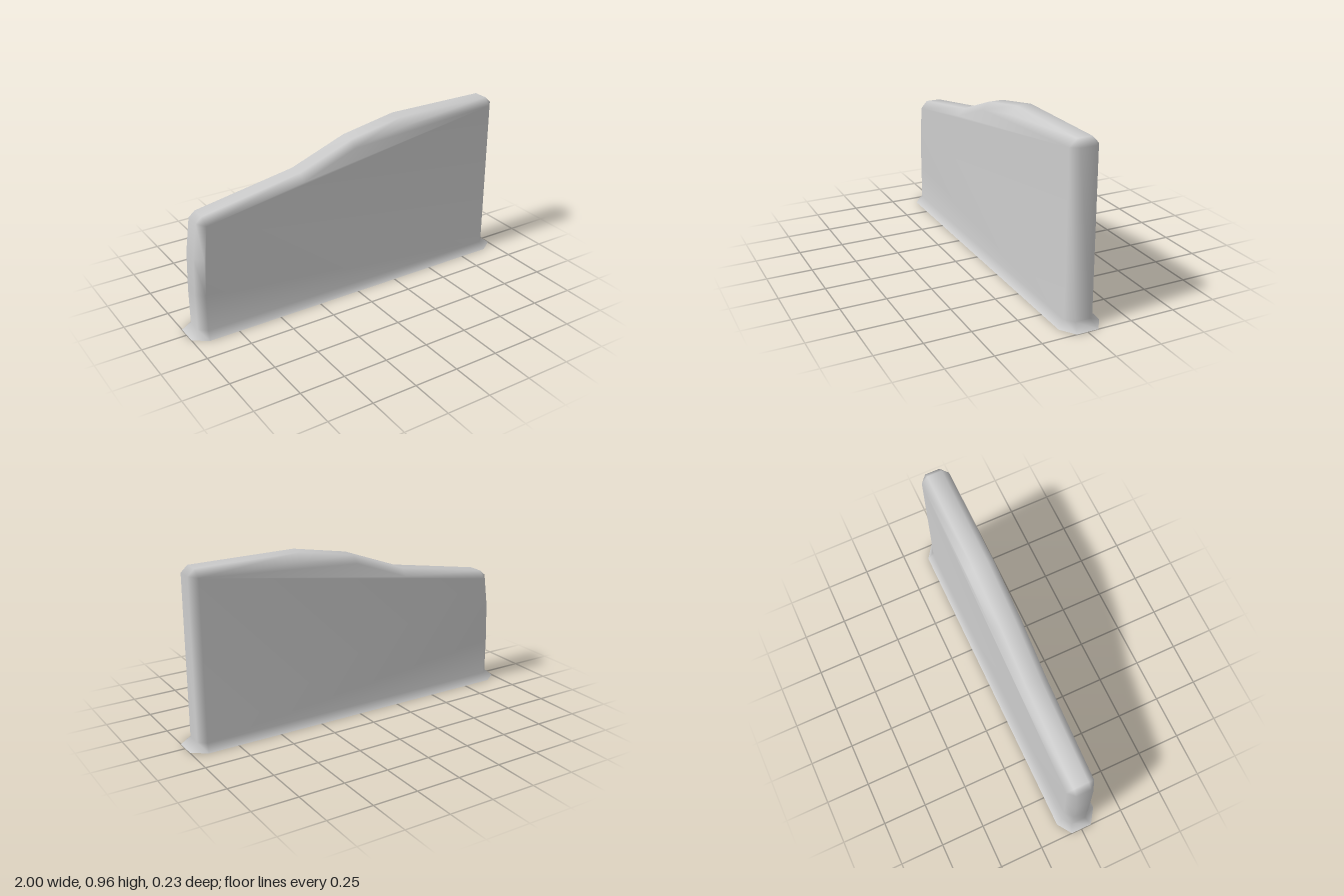
import * as THREE from 'three';
import { mergeVertices } from 'three/addons/utils/BufferGeometryUtils.js';

// Rim stations from the left foot over the top to the right foot:
// [rim x, rim y, rim half depth, side x, side y, side half depth]
const RIM = 0.042, SIDE = 0.08;
const stations = [
  [-1, 0, 0.06, -0.92, 0, 0.115],
  [-0.955, 0.04, RIM, -0.91, 0.04, SIDE],
  [-0.955, 0.25, RIM, -0.91, 0.25, SIDE],
  [-0.947, 0.46, RIM, -0.905, 0.45, SIDE],
  [-0.92, 0.65, RIM, -0.88, 0.64, SIDE],
  [-0.885, 0.68, RIM, -0.88, 0.64, SIDE],
  [-0.32, 0.78, RIM, -0.32, 0.74, SIDE],
  [0, 0.9, RIM, 0, 0.86, SIDE],
  [0.32, 0.96, RIM, 0.32, 0.92, SIDE],
  [0.915, 0.96, RIM, 0.91, 0.92, SIDE],
  [0.952, 0.925, RIM, 0.91, 0.92, SIDE],
  [0.952, 0.04, RIM, 0.91, 0.04, SIDE],
  [1, 0, 0.06, 0.92, 0, 0.115],
];

function panelGeometry() {
  const n = stations.length, positions = [], index = [];
  for (const [px, py, pz, qx, qy, qz] of stations) {
    positions.push(qx, qy, qz, px, py, pz, px, py, -pz, qx, qy, -qz);
  }

  // Bevelled rim: front bevel, flat edge, back bevel
  for (let i = 0; i < n - 1; i++) {
    for (let j = 0; j < 3; j++) {
      const a = i * 4 + j, b = a + 4;
      index.push(a, b, b + 1, a, b + 1, a + 1);
    }
  }

  // A front triangle and its mirror on the back
  const bothSides = (a, b, c) => {
    index.push(a * 4, b * 4, c * 4, a * 4 + 3, c * 4 + 3, b * 4 + 3);
  };

  // Large side faces
  const outline = stations.slice(1, -1).map((s) => new THREE.Vector2(s[3], s[4]));
  for (const [a, b, c] of THREE.ShapeUtils.triangulateShape(outline, [])) {
    const ccw = THREE.ShapeUtils.area([outline[a], outline[b], outline[c]]) > 0;
    if (ccw) bothSides(a + 1, b + 1, c + 1);
    else bothSides(a + 1, c + 1, b + 1);
  }

  // Flared skirt along both long sides; the underside stays open
  bothSides(0, n - 1, n - 2);
  bothSides(0, n - 2, 1);

  const geometry = new THREE.BufferGeometry();
  geometry.setAttribute('position', new THREE.Float32BufferAttribute(positions, 3));
  geometry.setIndex(index);
  const welded = mergeVertices(geometry);
  welded.computeVertexNormals();
  return welded;
}

export function createModel() {
  const group = new THREE.Group();
  const material = new THREE.MeshStandardMaterial({ color: 0xcccccc, side: THREE.DoubleSide });
  const panel = new THREE.Mesh(panelGeometry(), material);
  panel.name = 'wallPanel';
  group.add(panel);
  return group;
}
